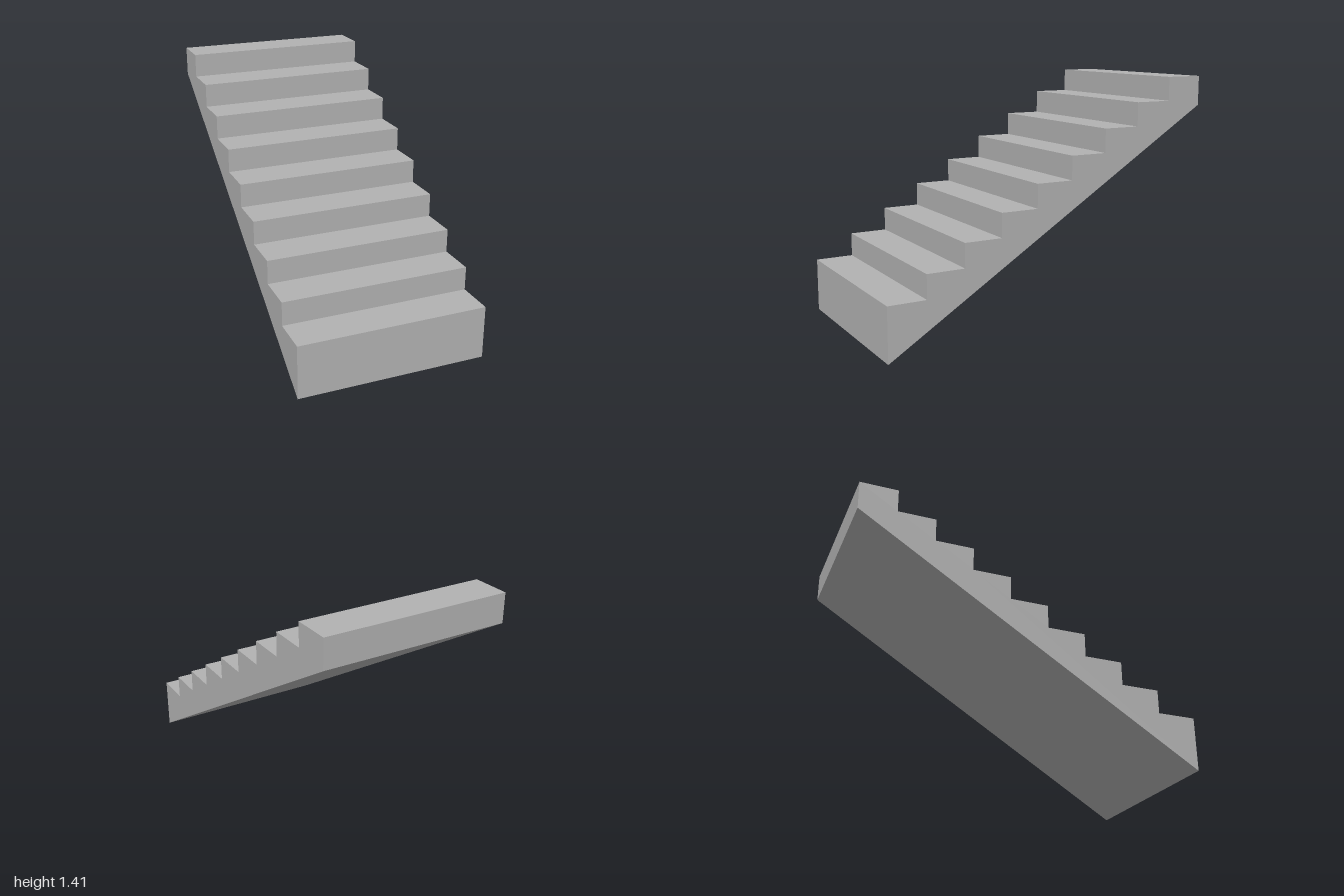
import * as THREE from 'three';

const STEPS = 9;
const WIDTH = 1.09;
const LENGTH = 2;
const FIRST_TOP = 0.31; // height of the lowest tread
const LAST_TOP = 1.41; // height of the highest tread
const BACK_BOTTOM = 1.24; // underside height at the rear

export function createModel() {
  const model = new THREE.Group();
  model.name = 'staircase';

  const concrete = new THREE.MeshStandardMaterial({ color: 0xb2b2b2 });
  concrete.name = 'concrete grey';

  // Side profile: x runs from the front of the flight to its back
  const tread = LENGTH / STEPS;
  const rise = (LAST_TOP - FIRST_TOP) / (STEPS - 1);
  const profile = new THREE.Shape();
  profile.moveTo(-LENGTH / 2, 0);
  profile.lineTo(LENGTH / 2, BACK_BOTTOM);
  for (let i = STEPS - 1; i >= 0; i--) {
    const top = FIRST_TOP + i * rise;
    const front = -LENGTH / 2 + i * tread;
    profile.lineTo(front + tread, top);
    profile.lineTo(front, top);
  }
  profile.closePath();

  // Extrude across the width and turn the front towards +z
  const geometry = new THREE.ExtrudeGeometry(profile, { depth: WIDTH, bevelEnabled: false });
  geometry.translate(0, 0, -WIDTH / 2);
  geometry.rotateY(Math.PI / 2);

  const flight = new THREE.Mesh(geometry, concrete);
  flight.name = 'stairFlight';
  model.add(flight);
  return model;
}
